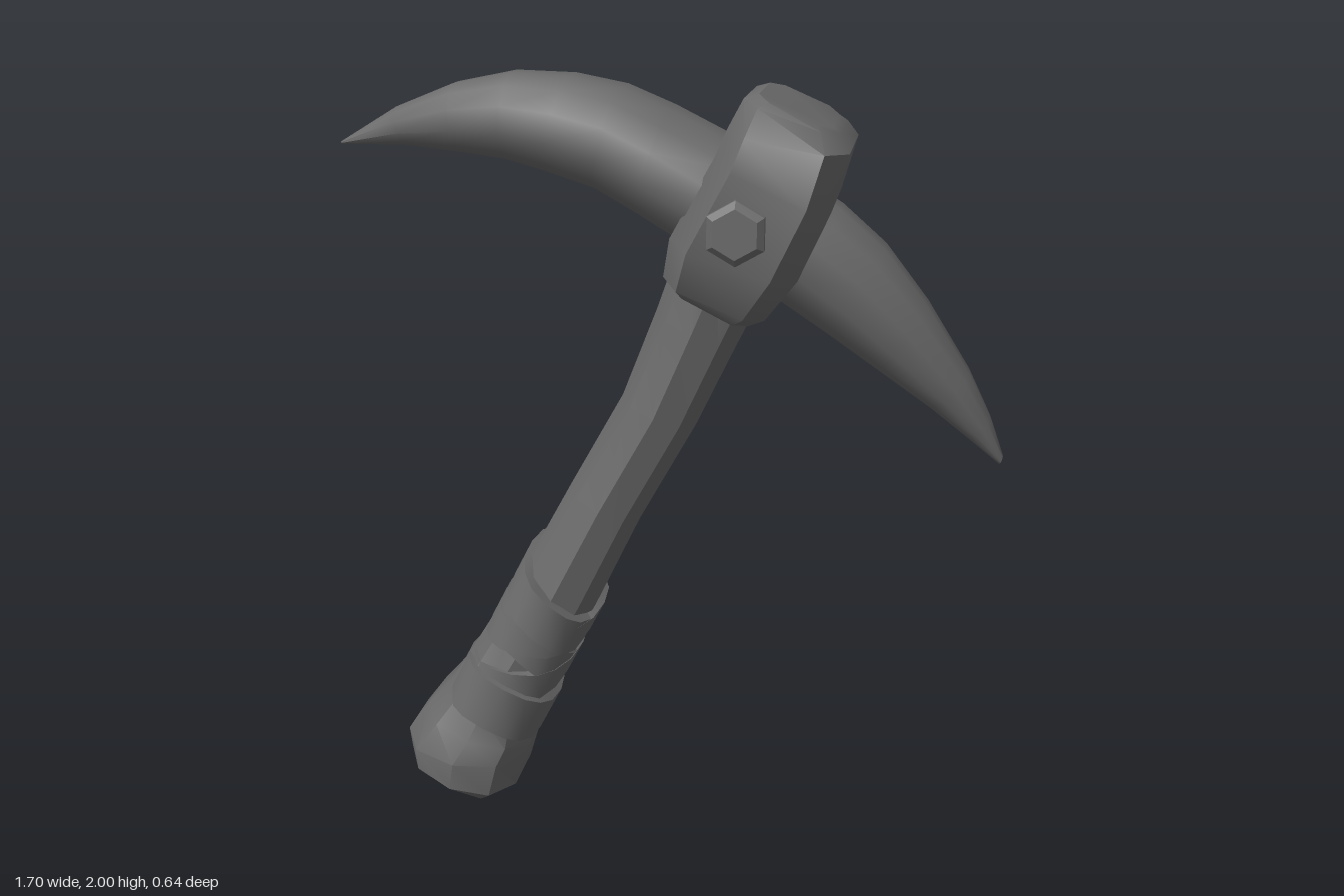
import * as THREE from 'three';
import { toCreasedNormals } from 'three/addons/utils/BufferGeometryUtils.js';

const iron = new THREE.MeshStandardMaterial({ color: 0x6a6a6a });
iron.name = 'dark grey';

// Joins rings of points into a closed skin: capped at both ends, or looped round.
function skin(rings, loop, crease) {
  const n = rings[0].length, m = rings.length, tris = [];
  const quad = (a, b, c, d) => tris.push(a, b, c, a, c, d);
  for (let i = 0; i < (loop ? m : m - 1); i++) {
    const p = rings[i], q = rings[(i + 1) % m];
    for (let j = 0; j < n; j++) quad(p[j], p[(j + 1) % n], q[(j + 1) % n], q[j]);
  }
  if (!loop) {
    const first = rings[0], last = rings[m - 1];
    for (let j = 1; j < n - 1; j++) {
      tris.push(first[0], first[j + 1], first[j]);
      tris.push(last[0], last[j], last[j + 1]);
    }
  }
  // Turn the faces outward when the enclosed volume comes out negative.
  let volume = 0;
  const cross = new THREE.Vector3();
  for (let i = 0; i < tris.length; i += 3)
    volume += tris[i].dot(cross.crossVectors(tris[i + 1], tris[i + 2]));
  if (volume < 0) tris.reverse();
  const geo = new THREE.BufferGeometry().setFromPoints(tris);
  return toCreasedNormals(geo, crease);
}

// Each section is [left x, left y, right x, right y, half depth, z offset].
function loft(sections, sides, power, crease) {
  const half = Math.PI / sides, top = Math.cos(half) ** power;
  const shape = v => Math.sign(v) * Math.abs(v) ** power / top;
  const rings = sections.map(([ax, ay, bx, by, hz, z0 = 0]) =>
    Array.from({ length: sides }, (_, j) => {
      const t = half + (j / sides) * Math.PI * 2;
      const c = shape(Math.cos(t)) / 2, s = shape(Math.sin(t));
      return new THREE.Vector3((ax + bx) / 2 + (bx - ax) * c, (ay + by) / 2 + (by - ay) * c, z0 + hz * s);
    }));
  return skin(rings, false, crease);
}

// A slanted strap around the grip; s runs along the handle axis.
function strap(s, height, tilt, slantZ, a, b) {
  const axis = new THREE.Vector3(0.456, 0.89, 0), side = new THREE.Vector3(0.89, -0.456, 0);
  const rings = [];
  for (let i = 0; i < 16; i++) {
    const t = (i / 16) * Math.PI * 2, c = Math.cos(t), d = Math.sin(t);
    const mid = s + tilt * c + slantZ * d;
    const corner = (k, e) => new THREE.Vector3(-0.5, 0.26, 0)
      .addScaledVector(axis, mid + e * height / 2)
      .addScaledVector(side, Math.sign(c) * Math.abs(c) ** 0.8 * a * k)
      .add(new THREE.Vector3(0, 0, Math.sign(d) * Math.abs(d) ** 0.8 * b * k));
    rings.push([corner(0.75, -1), corner(1, -0.9), corner(1, 0.9), corner(0.75, 1)]);
  }
  return skin(rings, true, 0.7);
}

export function createModel() {
  const model = new THREE.Group();
  model.name = 'pickaxe';
  const add = (name, geo) => {
    const mesh = new THREE.Mesh(geo, iron);
    mesh.name = name;
    model.add(mesh);
    return mesh;
  };

  // Handle with a swollen butt
  add('handle', loft([
    [-0.65, 0.09, -0.50, 0.005, 0.13],
    [-0.725, 0.16, -0.43, 0.06, 0.22],
    [-0.73, 0.21, -0.40, 0.16, 0.225],
    [-0.67, 0.29, -0.385, 0.20, 0.205],
    [-0.60, 0.37, -0.39, 0.26, 0.175],
    [-0.385, 0.72, -0.20, 0.61, 0.165],
    [-0.26, 0.95, -0.08, 0.86, 0.155],
    [-0.12, 1.20, 0.07, 1.13, 0.155],
    [-0.03, 1.43, 0.17, 1.34, 0.16],
    [0.03, 1.60, 0.24, 1.48, 0.165],
  ], 10, 0.85, 0.7));

  // Grip wrapping
  [
    [0.07, 0.15, 0.00, 0.03, 0.138, 0.208],
    [0.19, 0.11, 0.06, -0.03, 0.128, 0.19],
    [0.27, 0.12, -0.04, 0.035, 0.126, 0.19],
    [0.34, 0.10, 0.05, -0.02, 0.127, 0.194],
    [0.405, 0.12, -0.035, -0.015, 0.125, 0.198],
  ].forEach((args, i) => add('gripStrap' + (i + 1), strap(...args)));

  // Head block
  add('headBlock', loft([
    [0.02, 1.505, 0.21, 1.41, 0.20],
    [0.0, 1.53, 0.25, 1.43, 0.235],
    [0.02, 1.63, 0.33, 1.535, 0.28],
    [0.13, 1.83, 0.405, 1.70, 0.285],
    [0.155, 1.89, 0.445, 1.84, 0.265],
    [0.19, 1.96, 0.42, 1.88, 0.205],
    [0.225, 1.97, 0.40, 1.895, 0.19],
  ], 8, 0.5, 0.6));

  // Long pick, on the model's right
  add('longPick', loft([
    [-0.855, 1.818, -0.853, 1.812, 0.006],
    [-0.70, 1.91, -0.68, 1.815, 0.055],
    [-0.55, 1.97, -0.54, 1.803, 0.095],
    [-0.40, 2.0, -0.42, 1.79, 0.125],
    [-0.25, 1.995, -0.32, 1.765, 0.15],
    [-0.12, 1.97, -0.19, 1.725, 0.165],
    [0.0, 1.92, -0.08, 1.665, 0.18],
    [0.20, 1.82, 0.08, 1.57, 0.20],
  ], 12, 0.9, 0.8));

  // Short pick, on the model's left
  add('shortPick', loft([
    [0.30, 1.76, 0.20, 1.49, 0.165, -0.015],
    [0.42, 1.685, 0.28, 1.45, 0.155, -0.015],
    [0.53, 1.59, 0.40, 1.37, 0.145, -0.015],
    [0.64, 1.45, 0.52, 1.285, 0.125, -0.018],
    [0.75, 1.28, 0.66, 1.185, 0.085, -0.02],
    [0.81, 1.16, 0.76, 1.105, 0.055, -0.02],
    [0.847, 1.06, 0.838, 1.04, 0.022, -0.02],
  ], 12, 0.9, 0.8));

  // Hexagonal bolts, front and back
  for (const side of [1, -1]) {
    const profile = [[0, -0.06], [0.078, -0.06], [0.078, 0.025], [0.06, 0.04], [0, 0.04]];
    const geo = new THREE.LatheGeometry(profile.map(p => new THREE.Vector2(...p)), 6).toNonIndexed();
    geo.computeVertexNormals();
    const bolt = add(side > 0 ? 'frontBolt' : 'backBolt', geo);
    bolt.rotation.x = side * Math.PI / 2;
    bolt.position.set(0.195, 1.67, side * 0.278);
  }
  return model;
}
